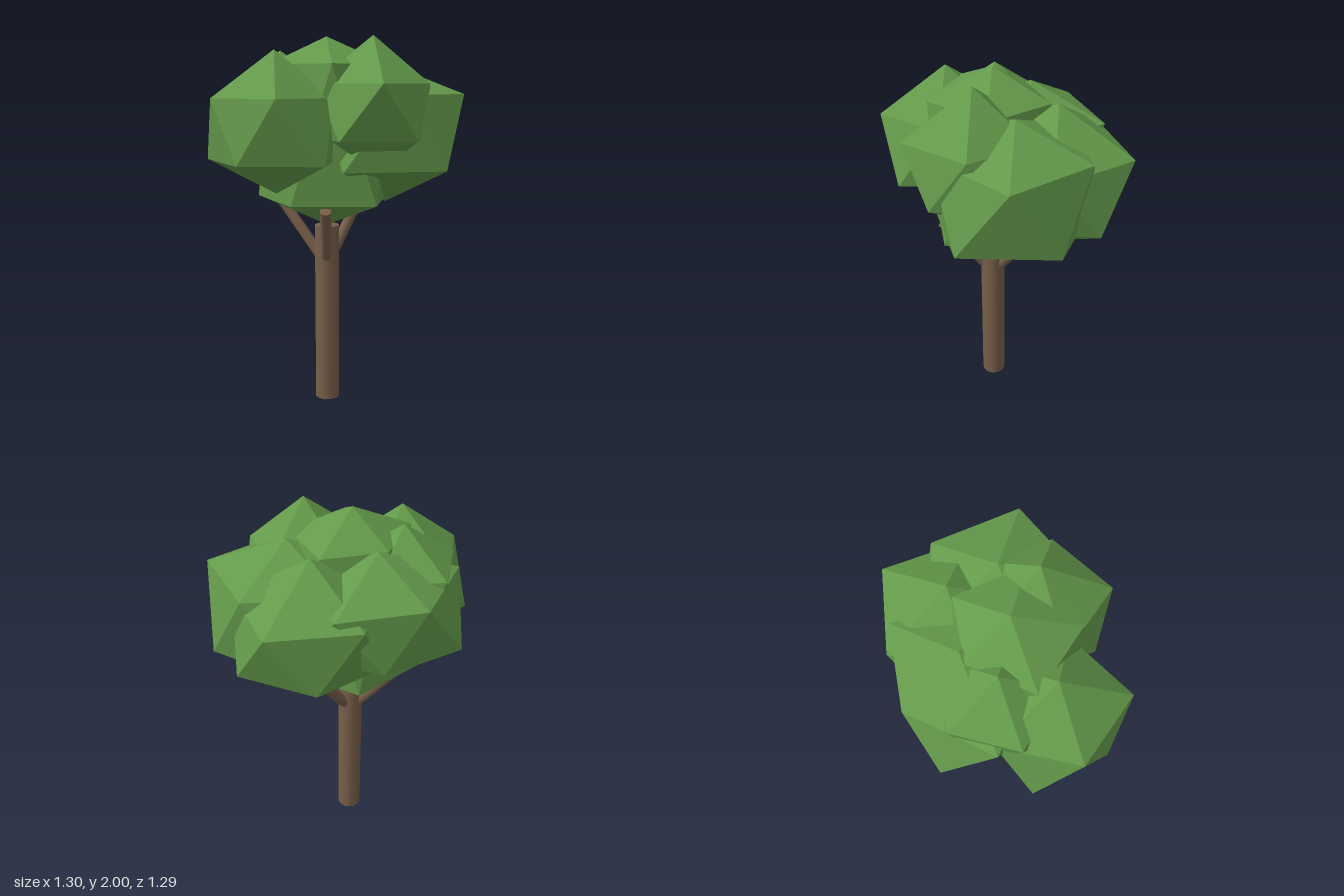
import * as THREE from 'three';

const leafGreen = new THREE.MeshStandardMaterial({ color: 0x649a4b });
leafGreen.name = 'leafGreen';
leafGreen.flatShading = true;
const barkBrown = new THREE.MeshStandardMaterial({ color: 0x785f4a });
barkBrown.name = 'barkBrown';

// Twenty-sided leaf clump: two poles and two staggered rings of five points.
// The uneven radii of each ring start at +x and turn towards +z.
function leafClump({ name, x, z, y, upper, lower }) {
  const [top, yUpper, yLower, bottom] = y;
  const pos = [0, top, 0, 0, bottom, 0];
  for (let i = 0; i < 5; i++) {
    const a = (i * Math.PI * 2) / 5;
    const b = a + Math.PI / 5;
    pos.push(Math.cos(a) * upper[i], yUpper, Math.sin(a) * upper[i]);
    pos.push(Math.cos(b) * lower[i], yLower, Math.sin(b) * lower[i]);
  }
  const index = [];
  for (let i = 0; i < 5; i++) {
    const u = 2 + i * 2, l = u + 1;
    const u2 = 2 + ((i + 1) % 5) * 2, l2 = u2 + 1;
    index.push(0, u2, u, u, u2, l, l, u2, l2, 1, l, l2);
  }
  const indexed = new THREE.BufferGeometry();
  indexed.setAttribute('position', new THREE.Float32BufferAttribute(pos, 3));
  indexed.setIndex(index);
  const geo = indexed.toNonIndexed();
  geo.computeVertexNormals();
  const mesh = new THREE.Mesh(geo, leafGreen);
  mesh.name = name;
  mesh.position.set(x, 0, z);
  return mesh;
}

// Straight round limb between two points
function limb(name, from, to, radius, sides) {
  const dir = to.clone().sub(from);
  const mesh = new THREE.Mesh(
    new THREE.CylinderGeometry(radius, radius, dir.length(), sides), barkBrown);
  mesh.name = name;
  mesh.position.copy(from).add(to).multiplyScalar(0.5);
  mesh.quaternion.setFromUnitVectors(new THREE.Vector3(0, 1, 0), dir.normalize());
  return mesh;
}

export function createModel() {
  const tree = new THREE.Group();
  tree.name = 'tree';

  // Trunk
  const tx = -0.06, tz = 0.055;
  tree.add(limb('trunk', new THREE.Vector3(tx, 0, tz), new THREE.Vector3(tx, 1, tz), 0.068, 12));

  // Three branches fanning out from the top of the trunk
  [['frontBranch', 78], ['rightBranch', 190], ['backBranch', 300]].forEach(([name, deg]) => {
    const a = THREE.MathUtils.degToRad(deg);
    const at = (r, y) => new THREE.Vector3(tx + Math.cos(a) * r, y, tz + Math.sin(a) * r);
    tree.add(limb(name, at(0.045, 0.83), at(0.275, 1.125), 0.03, 8));
  });

  // Canopy: y lists top, upper ring, lower ring and bottom heights
  const canopy = new THREE.Group();
  canopy.name = 'canopy';
  [
    { name: 'coreClump', x: -0.06, z: 0.05, y: [2.0, 1.855, 1.15, 1.0],
      upper: [0.33, 0.325, 0.32, 0.25, 0.305], lower: [0.385, 0.35, 0.39, 0.37, 0.37] },
    { name: 'frontRightClump', x: -0.265, z: 0.31, y: [1.925, 1.69, 1.375, 1.205],
      upper: [0.31, 0.353, 0.326, 0.34, 0.34], lower: [0.386, 0.32, 0.37, 0.36, 0.36] },
    { name: 'frontLeftClump', x: 0.2, z: 0.12, y: [2.0, 1.76, 1.485, 1.28],
      upper: [0.29, 0.345, 0.325, 0.32, 0.3], lower: [0.32, 0.34, 0.33, 0.33, 0.33] },
    { name: 'leftClump', x: 0.24, z: -0.08, y: [1.865, 1.705, 1.325, 1.12],
      upper: [0.413, 0.4, 0.4, 0.4, 0.385], lower: [0.435, 0.46, 0.42, 0.41, 0.41] },
    { name: 'backClump', x: 0.07, z: -0.275, y: [1.875, 1.65, 1.33, 1.09],
      upper: [0.39, 0.39, 0.39, 0.37, 0.393], lower: [0.37, 0.37, 0.37, 0.32, 0.39] },
    { name: 'backRightClump', x: -0.22, z: -0.135, y: [1.87, 1.7, 1.39, 1.18],
      upper: [0.39, 0.39, 0.45, 0.335, 0.4], lower: [0.39, 0.39, 0.43, 0.31, 0.37] },
    { name: 'rightClump', x: -0.31, z: 0.06, y: [1.93, 1.735, 1.48, 1.28],
      upper: [0.29, 0.29, 0.29, 0.29, 0.29], lower: [0.29, 0.29, 0.23, 0.28, 0.29] },
  ].forEach((c) => canopy.add(leafClump(c)));
  tree.add(canopy);

  return tree;
}
